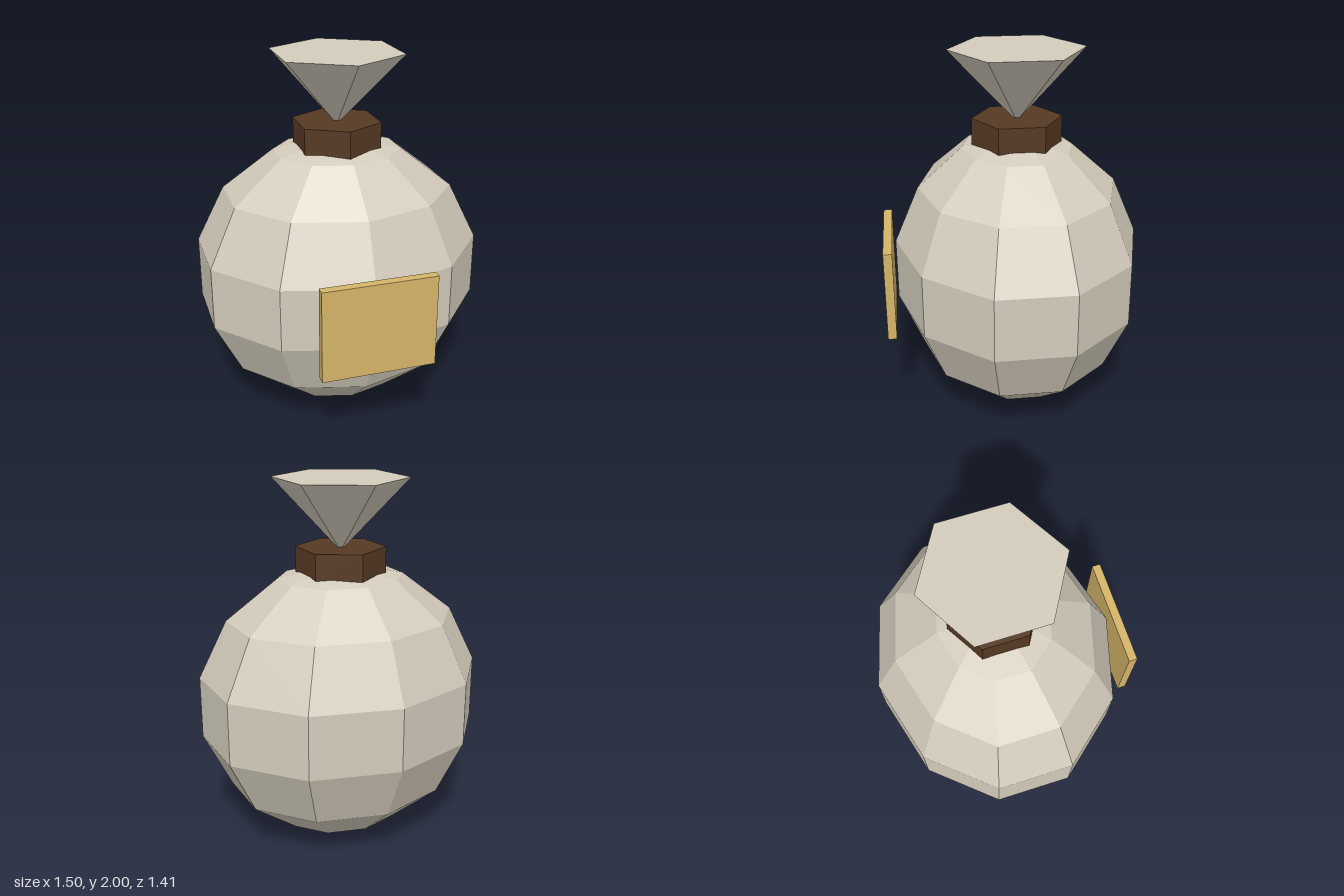
import * as THREE from 'three';

export function createModel() {
  const group = new THREE.Group();
  const axisZ = -0.035; // the sack sits slightly behind the centre

  const material = (name, color) => {
    const m = new THREE.MeshStandardMaterial({ color, flatShading: true });
    m.name = name;
    return m;
  };
  const cloth = material('sackcloth', 0xd4ccbc);
  const brown = material('brown cord', 0x563923);
  const gold = material('gold label', 0xd6b568);

  const add = (name, geometry, mat, y, z) => {
    const mesh = new THREE.Mesh(geometry, mat);
    mesh.name = name;
    mesh.position.set(0, y, z);
    group.add(mesh);
    return mesh;
  };

  // Low-poly round body, a little flattened front to back
  const body = new THREE.SphereGeometry(1, 10, 7, Math.PI / 2);
  body.scale(0.81, 0.776, 0.692);
  add('sackBody', body, cloth, 0.776, axisZ);

  // Hexagonal tie around the neck
  const tieBottom = 1.48, tieTop = 1.635;
  add('neckTie', new THREE.CylinderGeometry(0.243, 0.243, tieTop - tieBottom, 6),
    brown, (tieTop + tieBottom) / 2, axisZ);

  // Gathered cloth flaring out above the tie
  const apex = 1.61;
  add('gatheredTop', new THREE.CylinderGeometry(0.366, 0, 2 - apex, 6),
    cloth, (2 + apex) / 2, axisZ);

  // Flat label in front of the body
  add('frontLabel', new THREE.BoxGeometry(0.61, 0.508, 0.048), gold, 0.757, 0.681);

  return group;
}
